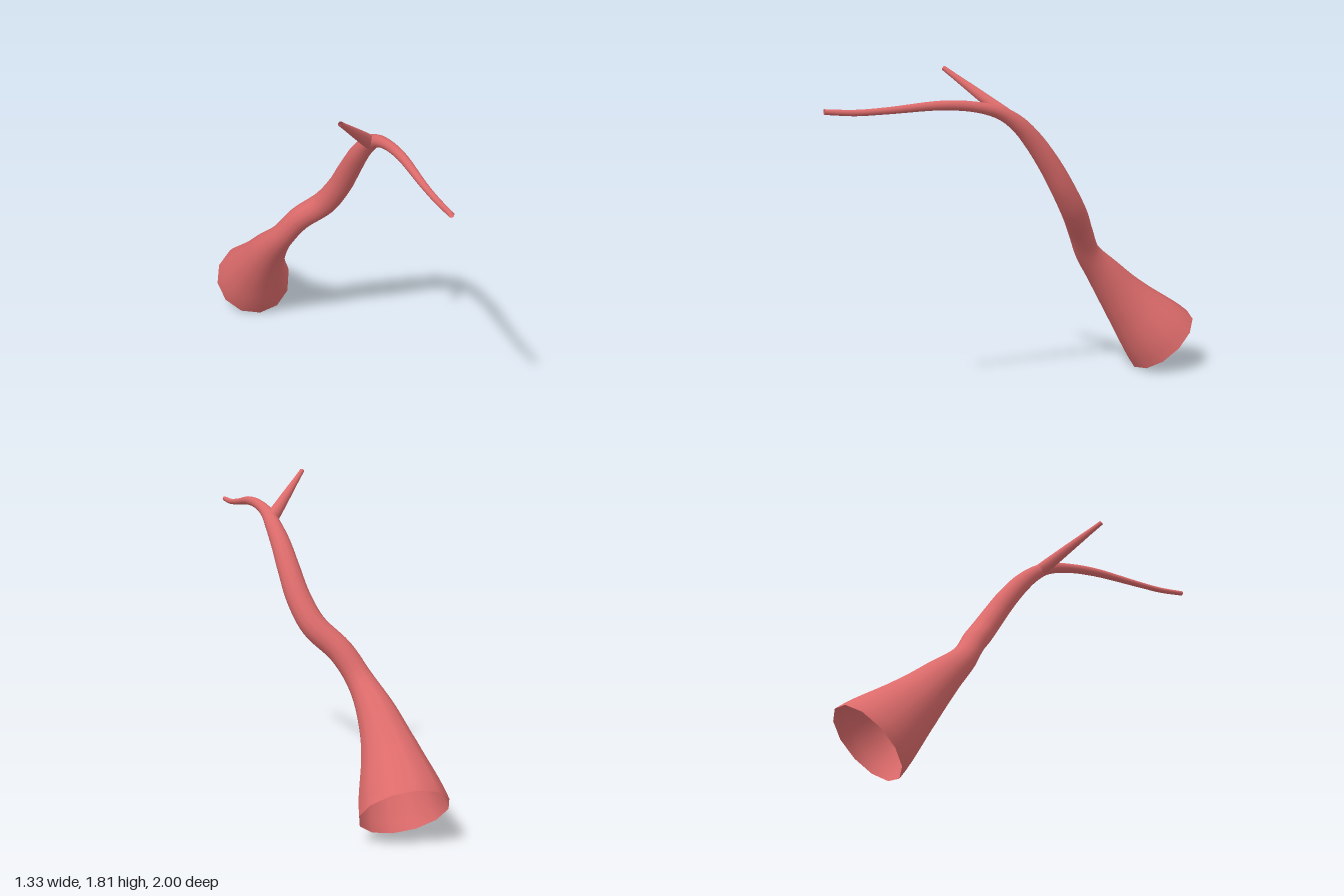
import * as THREE from 'three';

const material = new THREE.MeshStandardMaterial({ color: 0xdd6b6b, side: THREE.DoubleSide });

// Open tube through stations [x, y, z, radius], smooth around and along
function taperedTube(name, stations, sides, rings) {
  const path = new THREE.CatmullRomCurve3(stations.map(([x, y, z]) => new THREE.Vector3(x, y, z)));
  const radii = new THREE.SplineCurve(stations.map((s, i) => new THREE.Vector2(i, s[3])));
  const positions = [], index = [];
  const across = new THREE.Vector3(0, -1, 0);

  for (let i = 0; i <= rings; i++) {
    const t = i / rings;
    const centre = path.getPoint(t);
    const tangent = path.getTangent(t);
    const radius = radii.getPoint(t).y;
    // carry the previous cross direction into the new ring plane, without twist
    across.addScaledVector(tangent, -across.dot(tangent)).normalize();
    const other = new THREE.Vector3().crossVectors(tangent, across);
    for (let j = 0; j < sides; j++) {
      const a = (j / sides) * Math.PI * 2;
      const p = centre.clone()
        .addScaledVector(across, Math.cos(a) * radius)
        .addScaledVector(other, Math.sin(a) * radius);
      positions.push(p.x, p.y, p.z);
      if (i < rings) {
        const k = (j + 1) % sides;
        const a0 = i * sides + j, b0 = i * sides + k;
        index.push(a0, b0, b0 + sides, a0, b0 + sides, a0 + sides);
      }
    }
  }

  const geometry = new THREE.BufferGeometry();
  geometry.setAttribute('position', new THREE.Float32BufferAttribute(positions, 3));
  geometry.setIndex(index);
  geometry.computeVertexNormals();
  const mesh = new THREE.Mesh(geometry, material);
  mesh.name = name;
  return mesh;
}

export function createModel() {
  const group = new THREE.Group();
  group.name = 'branch';

  // Main limb: flared open base, winding up and forward to a thin tip
  group.add(taperedTube('mainLimb', [
    [-0.45, 0.157, -0.82, 0.232],
    [-0.375, 0.41, -0.6, 0.15],
    [-0.305, 0.585, -0.465, 0.103],
    [-0.22, 0.73, -0.36, 0.072],
    [-0.12, 0.87, -0.31, 0.068],
    [0.025, 1.0, -0.265, 0.069],
    [0.11, 1.14, -0.2, 0.066],
    [0.165, 1.28, -0.125, 0.061],
    [0.215, 1.41, -0.04, 0.054],
    [0.265, 1.51, 0.045, 0.044],
    [0.305, 1.57, 0.13, 0.035],
    [0.36, 1.607, 0.25, 0.028],
    [0.43, 1.624, 0.42, 0.025],
    [0.535, 1.607, 0.7, 0.018],
    [0.595, 1.602, 0.85, 0.016],
    [0.65, 1.612, 0.995, 0.014],
  ], 12, 90));

  // Side twig: short straight taper forking off near the bend
  group.add(taperedTube('sideTwig', [
    [0.28, 1.535, 0.075, 0.038],
    [0.205, 1.667, 0.257, 0.026],
    [0.132, 1.795, 0.435, 0.013],
  ], 12, 6));

  return group;
}
